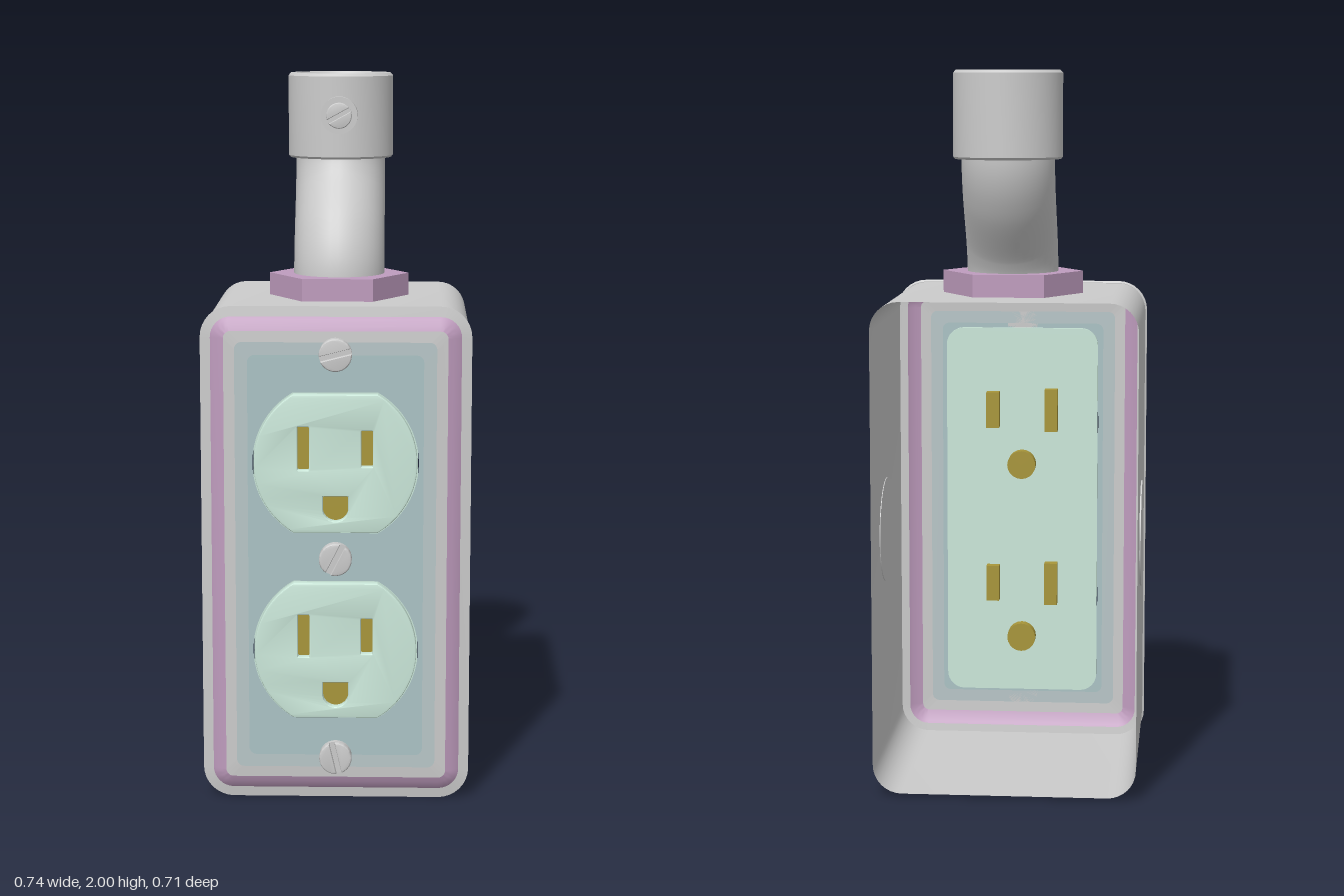
import * as THREE from 'three';
import { toCreasedNormals } from 'three/addons/utils/BufferGeometryUtils.js';

const mat = (color) => new THREE.MeshStandardMaterial({ color, side: THREE.DoubleSide });
const grey = mat(0xcccccc), purple = mat(0xbf9cbe), mint = mat(0xcbe8da);
const teal = mat(0xabc3c5), paleTeal = mat(0xb8c6c8), brass = mat(0xa8963a);
const MID = 0.695; // height of the box centre

export function createModel() {
  const model = new THREE.Group();

  function add(name, geo, material, x = 0, y = 0, z = 0, parent = model) {
    const mesh = new THREE.Mesh(geo, material);
    mesh.name = name;
    mesh.position.set(x, y, z);
    parent.add(mesh);
    return mesh;
  }

  // Rounded rectangle, counter-clockwise, centred on the origin
  function roundedRect(hw, hh, r, steps = 8) {
    const pts = [];
    [[1, 1], [-1, 1], [-1, -1], [1, -1]].forEach(([sx, sy], q) => {
      for (let i = 0; i <= steps; i++) {
        const a = (q + i / steps) * Math.PI / 2;
        pts.push(new THREE.Vector2(sx * (hw - r) + r * Math.cos(a), sy * (hh - r) + r * Math.sin(a)));
      }
    });
    return pts;
  }

  // Skin over rounded-rectangle sections given as [inset, z]
  function loft(hw, hh, r, sections) {
    const pos = [], idx = [];
    let n = 0;
    for (const [inset, z] of sections) {
      const loop = roundedRect(hw - inset, hh - inset, Math.max(r - inset, 0.02));
      n = loop.length;
      loop.forEach((p) => pos.push(p.x, p.y, z));
    }
    for (let i = 0; i < sections.length - 1; i++) {
      for (let j = 0; j < n; j++) {
        const a = i * n + j, b = i * n + (j + 1) % n;
        idx.push(a, b, b + n, a, b + n, a + n);
      }
    }
    const geo = new THREE.BufferGeometry();
    geo.setAttribute('position', new THREE.Float32BufferAttribute(pos, 3));
    geo.setIndex(idx);
    return toCreasedNormals(geo, 0.5);
  }

  const extrude = (shape, depth, bevel = 0) => toCreasedNormals(new THREE.ExtrudeGeometry(shape, {
    depth: depth - bevel, curveSegments: 20, bevelEnabled: bevel > 0,
    bevelSize: bevel, bevelThickness: bevel, bevelOffset: -bevel, bevelSegments: 3,
  }), 0.5);

  // Circle cut flat at top and bottom
  function facePath(Type, r, flat, cy = 0) {
    const a = Math.asin(flat / r);
    const path = new Type();
    path.absarc(0, cy, r, -a, a, false);
    path.absarc(0, cy, r, Math.PI - a, Math.PI + a, false);
    path.closePath();
    return path;
  }

  // Slotted screw head: a disc with two domed halves
  function screw(name, y, z, r, height, angle) {
    const g = new THREE.Group();
    g.name = name;
    g.position.set(0, y, z);
    g.rotation.z = angle;
    const base = add('screwBase', new THREE.CylinderGeometry(r, r, height * 0.5, 28), grey, 0, 0, height * 0.25, g);
    base.rotation.x = Math.PI / 2;
    const cut = Math.asin(0.16);
    for (const turn of [0, Math.PI]) {
      const half = new THREE.Shape();
      half.absarc(0, 0, r, cut, Math.PI - cut, false);
      half.closePath();
      const mesh = add('screwHalf', extrude(half, height * 0.7, height * 0.2), grey, 0, 0, height * 0.3, g);
      mesh.rotation.z = turn;
    }
    model.add(g);
  }

  // Open-backed box with a round knockout on each side
  add('box', loft(0.365, 0.685, 0.08, [[0, -0.355], [0, 0.297]]), grey, 0, MID);
  for (const s of [-1, 1]) {
    const disc = add('knockout', new THREE.CylinderGeometry(0.15, 0.15, 0.006, 40), grey, s * 0.366, MID, -0.03);
    disc.rotation.z = Math.PI / 2;
  }

  // Cover plate: flange, coloured bead, sloped border, pierced panel
  const plate = (name, sections, m) => add(name, loft(0.37, 0.692, 0.085, sections), m, 0, MID);
  plate('plateFlange', [[0.005, 0.29], [0, 0.293], [0, 0.299], [0.028, 0.303]], grey);
  plate('plateBead', [[0.028, 0.303], [0.034, 0.308], [0.05, 0.317], [0.065, 0.323]], purple);
  plate('plateBorder', [[0.065, 0.323], [0.095, 0.325]], grey);
  plate('plateInnerBorder', [[0.095, 0.325], [0.13, 0.325]], paleTeal);
  const panel = new THREE.Shape(roundedRect(0.24, 0.562, 0.02));
  const outlets = [0.96, 0.435];
  for (const y of outlets) panel.holes.push(facePath(THREE.Path, 0.227, 0.195, y - MID));
  add('platePanel', new THREE.ShapeGeometry(panel, 24), teal, 0, MID, 0.325);

  // Receptacle body behind the plate
  add('receptacleBody', extrude(new THREE.Shape(roundedRect(0.225, 0.55, 0.05)), 0.012), mint, 0, MID, 0.3);

  // Outlet faces with two blade slots and a ground hole each
  const slots = [[-0.088, 0.042, 0.016, 0.06], [0.086, 0.042, 0.016, 0.05]];
  for (const y of outlets) {
    const face = facePath(THREE.Shape, 0.223, 0.191);
    for (const [x, sy, hw, hh] of slots) {
      face.holes.push(new THREE.Path(roundedRect(hw, hh, 0.003, 2).map((p) => p.add(new THREE.Vector2(x, sy)))));
      add('contact', new THREE.BoxGeometry(hw * 2 + 0.006, hh * 2 + 0.006, 0.05), brass, x, y + sy, 0.291);
    }
    const ground = new THREE.Path();
    ground.moveTo(0.035, -0.09);
    ground.lineTo(-0.035, -0.09);
    ground.lineTo(-0.035, -0.125);
    ground.absarc(0, -0.125, 0.035, Math.PI, Math.PI * 2, false);
    ground.closePath();
    face.holes.push(ground);
    const pin = add('groundContact', new THREE.CylinderGeometry(0.042, 0.042, 0.05, 20), brass, 0, y - 0.122, 0.291);
    pin.rotation.x = Math.PI / 2;
    add('outletFace', extrude(face, 0.028, 0.004), mint, 0, y, 0.314);
  }

  // Plate screws
  screw('topScrew', 1.26, 0.325, 0.045, 0.03, 0.25);
  screw('middleScrew', MID, 0.325, 0.045, 0.03, 1.1);
  screw('bottomScrew', 0.13, 0.325, 0.045, 0.03, 1.8);

  // Hexagonal locknut, corners pointing sideways
  const nut = add('locknut', toCreasedNormals(new THREE.CylinderGeometry(0.197, 0.197, 0.065, 6), 0.3), purple, 0, 1.41, -0.031);
  nut.rotation.y = Math.PI / 2;

  // Offset pipe, an S-bend toward the back
  const path = new THREE.CatmullRomCurve3([[1.39, -0.03], [1.46, -0.036], [1.53, -0.066], [1.67, -0.165], [1.74, -0.194], [1.82, -0.2]]
    .map(([y, z]) => new THREE.Vector3(0, y, z)));
  add('pipe', new THREE.TubeGeometry(path, 32, 0.128, 36), grey);

  // Hollow coupling on the pipe end
  const profile = [[0.122, 1.82], [0.122, 1.76], [0.145, 1.76], [0.15, 1.766], [0.15, 1.992], [0.143, 2], [0.126, 2], [0.12, 1.99], [0.12, 1.82]]
    .map(([r, y]) => new THREE.Vector2(r, y));
  add('coupling', toCreasedNormals(new THREE.LatheGeometry(profile, 40), 0.5), grey, 0, 0, -0.2);

  // Set screw with its boss and shank
  const boss = add('setScrewBoss', new THREE.CylinderGeometry(0.052, 0.052, 0.05, 28), grey, 0, 1.885, -0.04);
  boss.rotation.x = Math.PI / 2;
  const shank = add('setScrewShank', new THREE.CylinderGeometry(0.025, 0.025, 0.08, 20), grey, 0, 1.885, -0.08);
  shank.rotation.x = Math.PI / 2;
  screw('setScrew', 1.885, -0.018, 0.036, 0.022, 0.5);

  return model;
}
